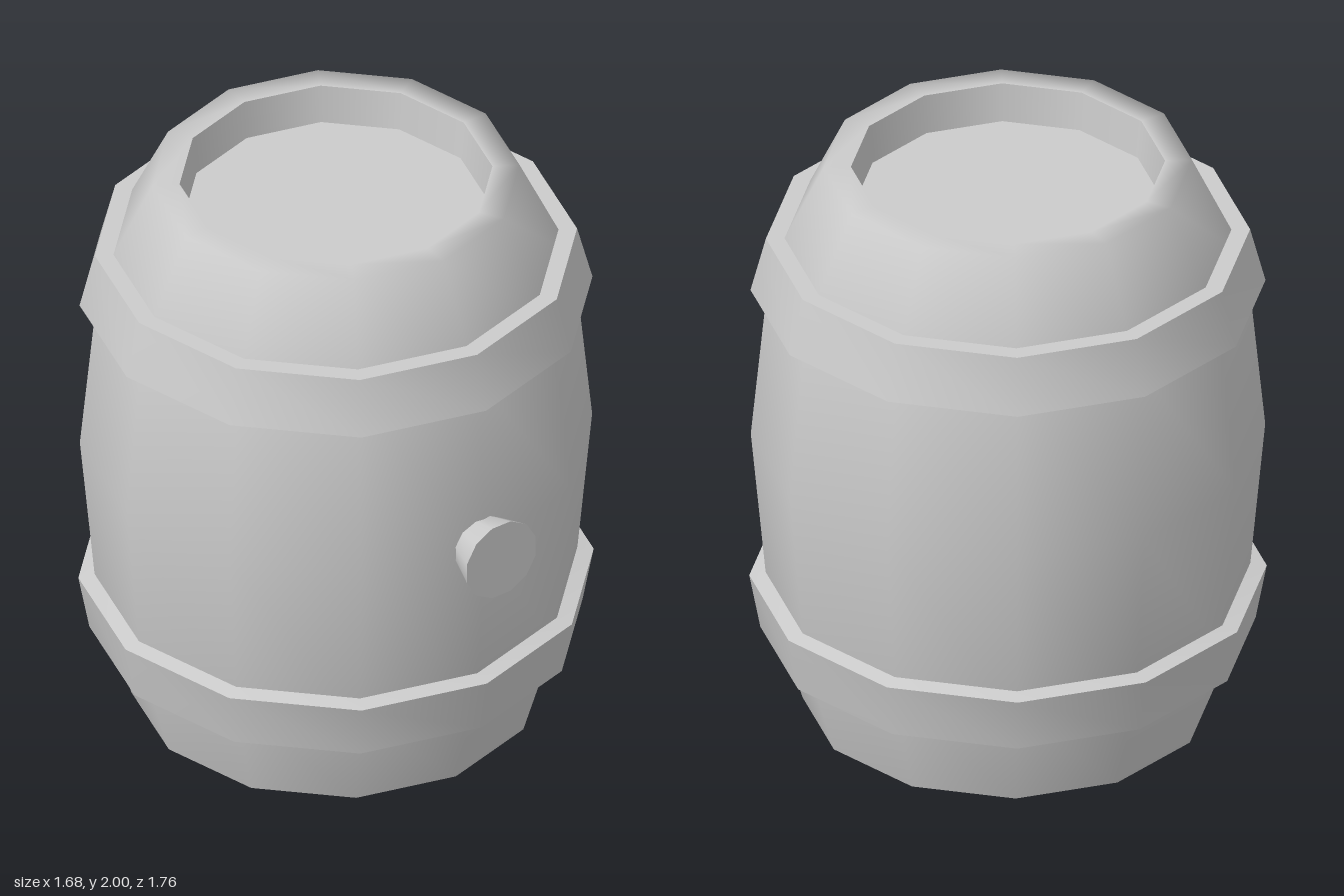
import * as THREE from 'three';
import { toCreasedNormals } from 'three/addons/utils/BufferGeometryUtils.js';

const SIDES = 12;
const material = new THREE.MeshStandardMaterial({ color: 0xcccccc });

// Surface of revolution from [radius, height] pairs
const lathe = (profile) =>
  new THREE.LatheGeometry(profile.map(([r, y]) => new THREE.Vector2(r, y)), SIDES);

export function createModel() {
  const model = new THREE.Group();
  model.name = 'barrel';
  const cask = new THREE.Group();
  cask.name = 'cask';
  cask.position.z = -0.04;
  model.add(cask);

  const add = (parent, name, geometry) => {
    const mesh = new THREE.Mesh(geometry, material);
    mesh.name = name;
    parent.add(mesh);
    return mesh;
  };

  // Bulging staves, smooth over the top onto the flat rim
  add(cask, 'staves', lathe([
    [0.667, 0], [0.778, 0.38], [0.835, 1], [0.773, 1.636], [0.598, 2], [0.51, 2],
  ]));

  // Recessed lid and the wall leading down to it
  add(cask, 'rimWall', lathe([[0.51, 2], [0.497, 1.865]]));
  add(cask, 'lid', lathe([[0.497, 1.865], [0, 1.865]]));
  add(cask, 'base', lathe([[0, 0], [0.667, 0]]));

  // Hoops: sharp corners, smooth around
  const hoops = {
    lowerHoop: [[0.72, 0.27], [0.804, 0.27], [0.84, 0.465], [0.76, 0.482]],
    upperHoop: [[0.75, 1.524], [0.836, 1.542], [0.786, 1.735], [0.7, 1.735]],
  };
  for (const [name, profile] of Object.entries(hoops)) {
    add(cask, name, toCreasedNormals(lathe(profile), 0.7));
  }

  // Flared bung on the front
  const bungShape = new THREE.CylinderGeometry(0.142, 0.095, 0.14, SIDES);
  bungShape.rotateY(Math.PI / SIDES).rotateX(Math.PI / 2);
  add(model, 'bung', bungShape).position.set(0, 1, 0.81);

  return model;
}
